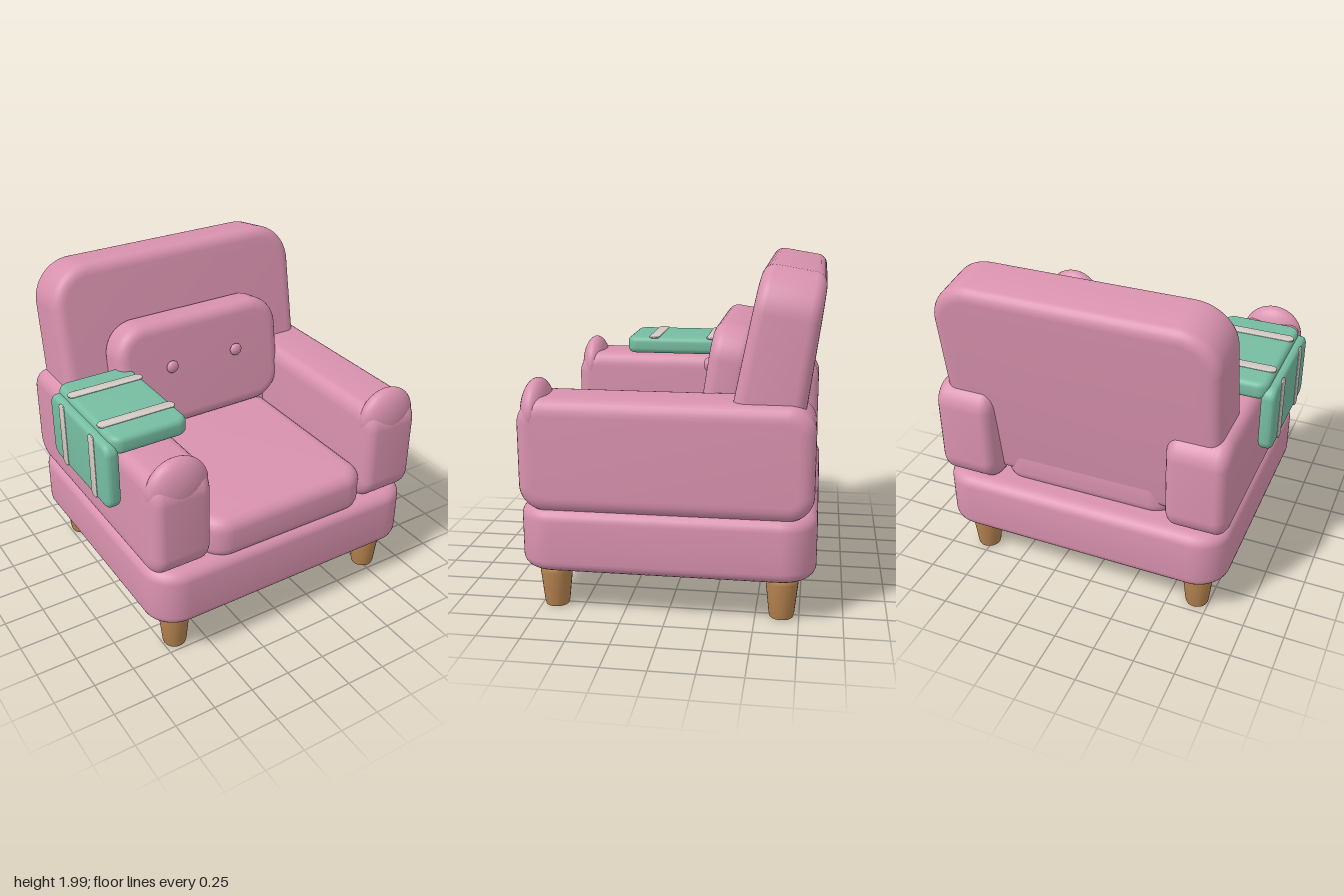
import * as THREE from 'three';
import { toCreasedNormals } from 'three/addons/utils/BufferGeometryUtils.js';

const mat = (name, color) => {
  const m = new THREE.MeshStandardMaterial({ color });
  m.name = name;
  return m;
};

// Rounded slab centred on the origin, facing z: corner radius r,
// edge rounding b (in plane) by bz (in depth)
function slab(w, h, d, r, b, bz = b) {
  const x = w / 2 - b, y = h / 2 - b, c = Math.max(r - b, 0.002);
  const s = new THREE.Shape();
  s.absarc(x - c, y - c, c, 0, Math.PI / 2);
  s.absarc(c - x, y - c, c, Math.PI / 2, Math.PI);
  s.absarc(c - x, c - y, c, Math.PI, Math.PI * 1.5);
  s.absarc(x - c, c - y, c, Math.PI * 1.5, Math.PI * 2);
  s.closePath();
  const g = new THREE.ExtrudeGeometry(s, {
    depth: d - 2 * bz, bevelSize: b, bevelThickness: bz, bevelSegments: 6, curveSegments: 8,
  });
  g.translate(0, 0, bz - d / 2);
  return g;
}

export function createModel() {
  const group = new THREE.Group();
  group.name = 'armchair';
  const pink = mat('pink fabric', 0xd992ae);
  const green = mat('green tray', 0x76bda2);
  const wood = mat('wood', 0xb78450);
  const cream = mat('pale strap', 0xd3cac4);
  const mid = 0.05; // centre line of the chair

  const add = (name, geometry, material, x, y, z) => {
    const mesh = new THREE.Mesh(geometry, material);
    mesh.name = name;
    mesh.position.set(x, y, z);
    group.add(mesh);
    return mesh;
  };
  const soft = (g) => toCreasedNormals(g, 0.6);
  const lying = (g) => soft(g.rotateX(-Math.PI / 2));
  const sideways = (g) => soft(g.rotateY(Math.PI / 2));

  // Base and seat cushion
  add('base', lying(slab(1.83, 1.69, 0.38, 0.2, 0.08, 0.07)), pink, mid, 0.45, 0.005);
  add('seatCushion', lying(slab(1.12, 1.53, 0.27, 0.15, 0.08, 0.08)), pink, mid, 0.737, 0.065);

  // Leaning backrest, thinner towards the top
  const back = slab(1.705, 1.3, 0.39, 0.25, 0.07, 0.07);
  const p = back.attributes.position;
  for (let i = 0; i < p.count; i++) p.setZ(i, p.getZ(i) * (1 - 0.15 * p.getY(i)));
  add('backrest', soft(back), pink, mid, 1.33, -0.577).rotation.x = -0.165;

  // Back pillow with two buttons
  add('backPillow', soft(slab(1.16, 0.7, 0.24, 0.2, 0.07)), pink, mid, 1.285, -0.295).rotation.x = -0.15;
  for (const x of [-0.185, 0.28]) {
    const button = new THREE.SphereGeometry(0.04, 20, 14).scale(1, 1, 0.6);
    add('pillowButton', button, pink, x, 1.36, -0.162);
  }

  // Arms with rounded front caps, and legs
  const legProfile = [
    [0, 0], [0.055, 0], [0.068, 0.006], [0.073, 0.025],
    [0.094, 0.22], [0.094, 0.24], [0.085, 0.253], [0, 0.255],
  ].map(([x, y]) => new THREE.Vector2(x, y));
  for (const side of [-1, 1]) {
    const armX = mid + side * 0.727;
    add('arm', sideways(slab(1.65, 0.65, 0.375, 0.15, 0.09, 0.07)), pink, armX, 0.945, 0.005);
    const cap = new THREE.SphereGeometry(1, 32, 24).scale(0.19, 0.183, 0.087);
    add('armCap', cap, pink, armX, 1.172, 0.742);
    for (const z of [0.665, -0.65]) {
      const leg = toCreasedNormals(new THREE.LatheGeometry(legProfile, 24), 0.8);
      add('leg', leg, wood, mid + side * 0.725, 0, z);
    }
  }

  // Folding tray over the right arm: a top panel and a hanging panel
  add('trayTop', lying(slab(0.48, 0.76, 0.11, 0.07, 0.035)), green, -0.675, 1.338, 0.095);
  add('traySide', sideways(slab(0.755, 0.42, 0.085, 0.07, 0.03)), green, -0.919, 1.145, 0.097);

  // Straps across both panels
  for (const z of [-0.1, 0.29]) {
    add('topStrap', lying(slab(0.485, 0.07, 0.016, 0.035, 0.012, 0.006)), cream, -0.675, 1.393, z);
    add('sideStrap', sideways(slab(0.07, 0.41, 0.016, 0.03, 0.012, 0.006)), cream, -0.961, 1.145, z);
  }
  return group;
}
